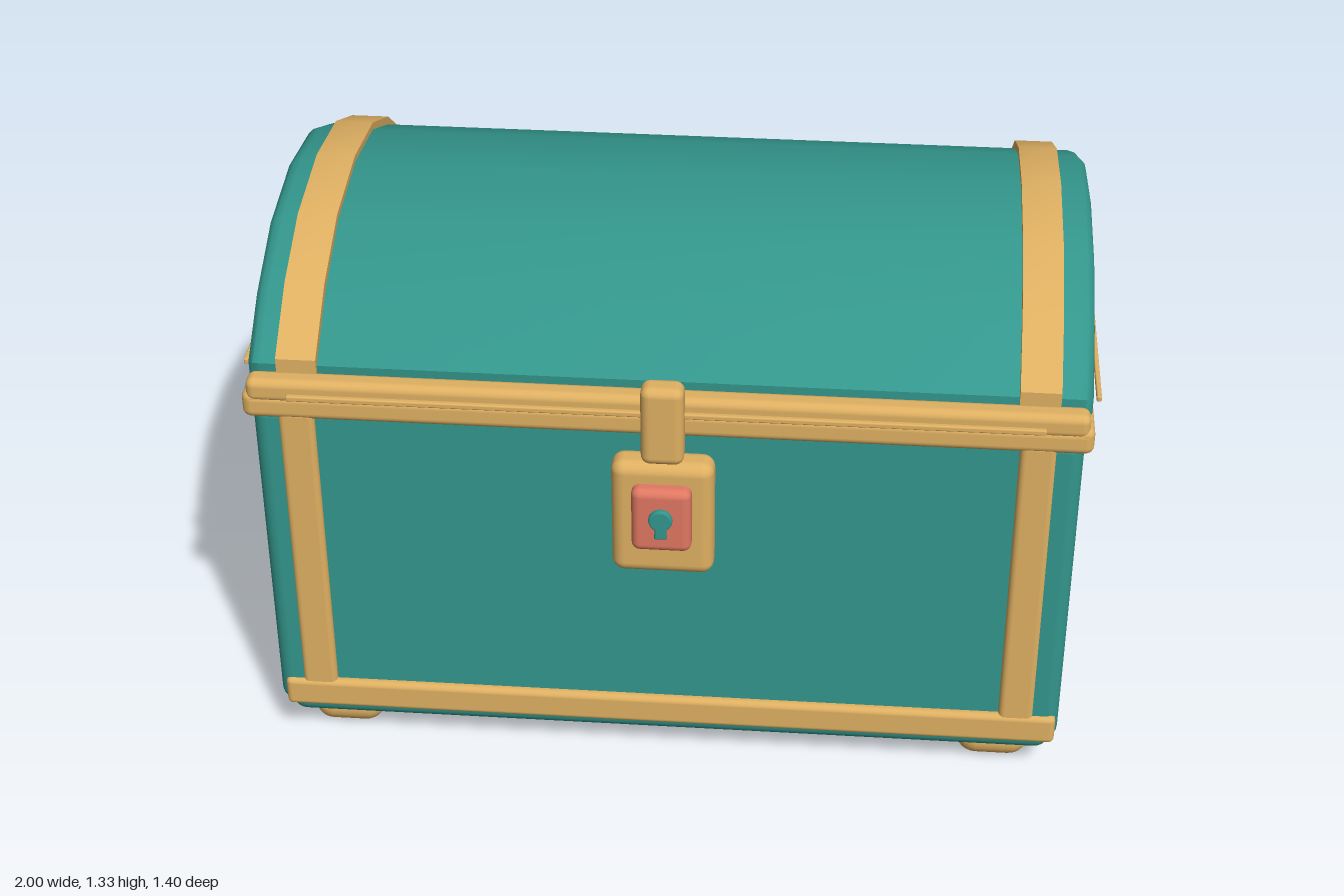
import * as THREE from 'three';
import { toCreasedNormals } from 'three/addons/utils/BufferGeometryUtils.js';
import { RoundedBoxGeometry } from 'three/addons/geometries/RoundedBoxGeometry.js';

export function createModel() {
  const group = new THREE.Group();
  const mat = (name, color) => {
    const m = new THREE.MeshStandardMaterial({ color });
    m.name = name;
    return m;
  };
  const teal = mat('teal', 0x33968c);
  const gold = mat('gold', 0xdfb062);
  const red = mat('coral red', 0xe07862);

  const add = (name, geometry, material) => {
    const mesh = new THREE.Mesh(geometry, material);
    mesh.name = name;
    group.add(mesh);
    return mesh;
  };
  // Rounded box given by its extents on each axis
  const box = (name, material, x, y, z, radius = 0.015) => {
    const size = [x, y, z].map(([a, b]) => Math.abs(b - a));
    const r = Math.min(radius, Math.min(...size) * 0.49);
    const mesh = add(name, new RoundedBoxGeometry(...size, 3, r), material);
    mesh.position.set((x[0] + x[1]) / 2, (y[0] + y[1]) / 2, (z[0] + z[1]) / 2);
    return mesh;
  };
  // Outline of [z, y] points extruded along x between x0 and x1
  const extrudeX = (points, x0, x1, bevel) => {
    const shape = new THREE.Shape(points.map(([z, y]) => new THREE.Vector2(-z, y)));
    const geo = new THREE.ExtrudeGeometry(shape, {
      depth: x1 - x0 - 2 * bevel, bevelEnabled: bevel > 0,
      bevelSize: bevel, bevelThickness: bevel, bevelOffset: -bevel, bevelSegments: 3,
    });
    geo.rotateY(Math.PI / 2).translate(x0 + bevel, 0, 0);
    return toCreasedNormals(geo, 0.7);
  };

  // Chest body and plinth
  box('body', teal, [-0.94, 0.94], [0.1, 1.0], [-0.65, 0.585], 0.02);
  box('plinth', teal, [-0.95, 0.95], [0.05, 0.2], [-0.63, 0.56], 0.04);

  // Corner posts, feet and vertical straps
  for (const s of [-1, 1]) {
    const span = (a, b) => [s * a, s * b];
    for (const [z0, z1] of [[0.495, 0.593], [-0.66, -0.555]]) {
      box('cornerPost', teal, span(0.86, 0.963), [0.11, 1.0], [z0, z1], 0.035);
    }
    for (const [z0, z1] of [[0.33, 0.54], [-0.605, -0.395]]) {
      box('foot', gold, span(0.72, 0.9), [0, 0.11], [z0, z1], 0.05);
    }
    box('frontStrap', gold, span(0.815, 0.9), [0.12, 0.99], [0.56, 0.6]);
    box('backStrap', gold, span(0.815, 0.9), [0.11, 0.99], [-0.668, -0.63]);
  }

  // Bottom trim on the front and on the left side
  box('frontBottomTrim', gold, [-0.945, 0.955], [0.115, 0.195], [0.56, 0.604]);
  box('sideBottomTrim', gold, [0.92, 0.965], [0.115, 0.195], [-0.585, 0.523]);

  // Rim around the top of the body
  box('frontRim', gold, [-0.98, 0.98], [0.97, 1.035], [0.54, 0.603], 0.02);
  box('frontLidRim', gold, [-0.97, 0.97], [1.015, 1.075], [0.545, 0.604], 0.02);
  box('backRim', gold, [-0.98, 0.98], [0.97, 1.06], [-0.672, -0.585], 0.02);
  for (const s of [-1, 1]) {
    box('sideRim', gold, [s * 0.92, s * 0.982], [0.97, 1.04], [-0.668, 0.602], 0.02);
    box('sideRod', gold, [s * 0.988, s * 1.0], [1.037, 1.052], [-0.545, 0.475], 0.004);
  }
  box('frontRod', gold, [-0.87, 0.87], [1.037, 1.051], [0.612, 0.626], 0.004);

  // Domed lid
  const arc = [[0.55, 1.09], [0.4, 1.203], [0.215, 1.287], [-0.02, 1.318],
    [-0.25, 1.287], [-0.44, 1.203], [-0.592, 1.09]];
  add('lid', extrudeX([[0.55, 0.98], ...arc, [-0.592, 0.98]], -0.977, 0.977, 0.035), teal);

  // Bands over the lid
  const outer = [[0.56, 1.02], [0.56, 1.11], [0.406, 1.225], [0.22, 1.304], [-0.02, 1.334],
    [-0.255, 1.304], [-0.447, 1.222], [-0.602, 1.108], [-0.602, 1.02]];
  const inner = [[0.52, 1.02], ...arc.map(([z, y]) => [z * 0.96, y - 0.03]), [-0.56, 1.02]].reverse();
  for (const x of [-0.902, 0.808]) add('lidBand', extrudeX([...outer, ...inner], x, x + 0.094, 0), gold);

  // Hinges: barrels with softened ends
  const barrel = [[0, -0.115], [0.05, -0.115], [0.061, -0.111], [0.065, -0.1],
    [0.065, 0.1], [0.061, 0.111], [0.05, 0.115], [0, 0.115]].map(p => new THREE.Vector2(...p));
  for (const s of [-1, 1]) {
    const geo = toCreasedNormals(new THREE.LatheGeometry(barrel, 24), 0.8);
    const hinge = add('hinge', geo, gold);
    hinge.rotation.z = Math.PI / 2;
    hinge.position.set(s * 0.675, 1.007, -0.63);
  }

  // Hasp and lock
  box('hasp', gold, [-0.05, 0.05], [0.92, 1.127], [0.587, 0.652], 0.022);
  box('lockPlate', gold, [-0.12, 0.12], [0.612, 0.922], [0.57, 0.652], 0.03);
  box('lockFace', red, [-0.07, 0.07], [0.7, 0.872], [0.62, 0.684], 0.02);

  // Keyhole: round head with a slot below
  const hole = new THREE.Shape();
  hole.moveTo(-0.015, 0.75);
  hole.lineTo(0.015, 0.75);
  hole.lineTo(0.013, 0.776);
  hole.absarc(0, 0.8, 0.028, -1.09, Math.PI + 1.09, false);
  hole.closePath();
  const keyhole = add('keyhole', new THREE.ExtrudeGeometry(hole, {
    depth: 0.006, bevelEnabled: true, bevelSize: 0.004, bevelThickness: 0.005,
    bevelOffset: -0.004, bevelSegments: 2, curveSegments: 16,
  }), teal);
  keyhole.position.z = 0.69;

  return group;
}
